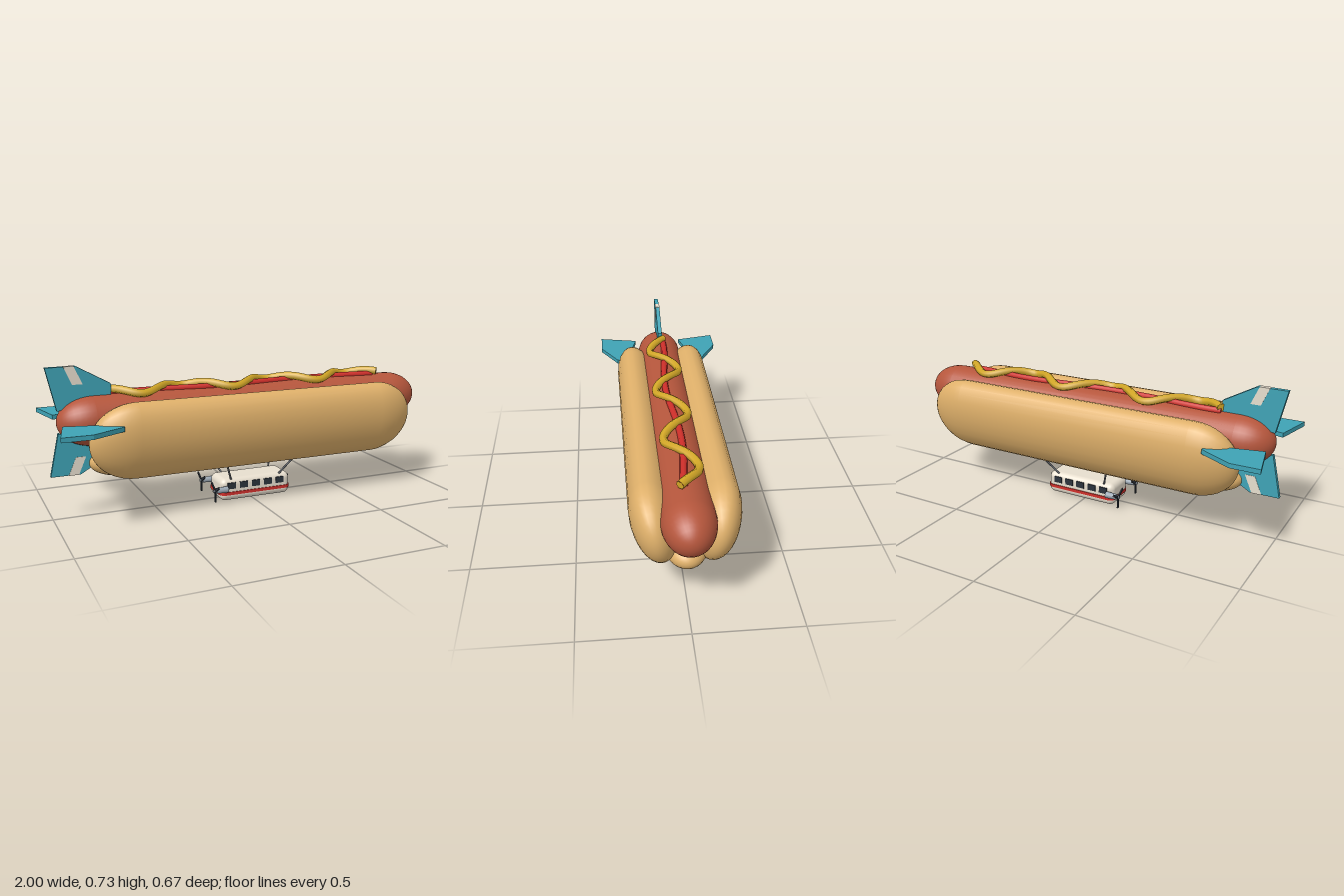
import * as THREE from 'three';
import { RoundedBoxGeometry } from 'three/addons/geometries/RoundedBoxGeometry.js';

const mat = (name, color, side = THREE.FrontSide) => {
  const m = new THREE.MeshStandardMaterial({ color, side });
  m.name = name;
  return m;
};

export function createModel() {
  const root = new THREE.Group();
  root.name = 'sausageAirship';
  const M = {
    bun: mat('bun tan', 0xdfb06a),
    sausage: mat('sausage brown', 0xb5563c),
    mustard: mat('mustard yellow', 0xd6aa28),
    red: mat('red', 0xcf2f2a),
    teal: mat('teal', 0x3fa3b5),
    cream: mat('cream', 0xe8dfcf),
    dark: mat('dark glass', 0x2b323b),
    pod: mat('pale grey', 0x9ba7b3),
    strut: mat('strut grey', 0x6c7178),
  };
  const add = (name, geo, material, x = 0, y = 0, z = 0, parent = root) => {
    const mesh = new THREE.Mesh(geo, material);
    mesh.name = name;
    mesh.position.set(x, y, z);
    parent.add(mesh);
    return mesh;
  };

  // Capsule along x with an elliptical section; shear leans the section sideways
  const capsule = (x0, x1, cap, ry, rz, sides, shear = 0) => {
    const g = new THREE.CapsuleGeometry(cap, x1 - x0 - 2 * cap, 10, sides);
    g.rotateZ(-Math.PI / 2);
    g.scale(1, ry / cap, rz / cap);
    g.applyMatrix4(new THREE.Matrix4().set(1, 0, 0, 0, 0, 1, 0, 0, 0, shear, 1, 0, 0, 0, 0, 1));
    return g.translate((x0 + x1) / 2, 0, 0);
  };

  // Hull: sausage in a split bun
  const CY = 0.465;
  add('sausage', capsule(-0.96, 0.995, 0.17, 0.12, 0.12, 32), M.sausage, 0, CY);
  for (const s of [1, -1]) {
    add(s > 0 ? 'leftBun' : 'rightBun', capsule(-0.84, 0.88, 0.22, 0.19, 0.109, 24, s * 0.158),
      M.bun, 0, 0.38, s * 0.135);
  }
  add('bottomBun', capsule(-0.82, 0.86, 0.15, 0.072, 0.1, 24), M.bun, 0, 0.26);
  add('bunFilling', capsule(-0.8, 0.84, 0.06, 0.04, 0.05, 16), M.cream, 0, 0.358);

  // Sauces squeezed along the top of the sausage
  const sauce = (name, x0, x1, wave, lift, r, sides, material) => {
    const pts = [];
    for (let i = 0; i <= 60; i++) {
      const x = x0 + (x1 - x0) * i / 60, z = wave(x);
      pts.push(new THREE.Vector3(x, CY + Math.sqrt(lift * lift - z * z), z));
    }
    const curve = new THREE.CatmullRomCurve3(pts);
    const g = new THREE.TubeGeometry(curve, 120, r, sides);
    add(name, g, material);
    [0, 1].forEach((t) => {
      const cap = add(name + 'End', new THREE.CircleGeometry(r, sides), material);
      cap.position.copy(curve.getPoint(t));
      const dir = curve.getTangent(t).multiplyScalar(t ? 1 : -1);
      cap.quaternion.setFromUnitVectors(new THREE.Vector3(0, 0, 1), dir);
    });
  };
  sauce('ketchup', -0.7, 0.73, (x) => -0.016 * Math.cos((x + 0.65) * Math.PI * 2), 0.122, 0.017, 8, M.red);
  sauce('mustard', -0.7, 0.75, (x) => -0.069 * Math.cos((x + 0.33) * Math.PI * 2 / 0.465), 0.142, 0.02, 6, M.mustard);

  // Tail fins, with a pale stripe on the upright pair
  const plate = (points, depth) => {
    const shape = new THREE.Shape(points.map((p) => new THREE.Vector2(...p)));
    return new THREE.ExtrudeGeometry(shape, { depth, bevelEnabled: false }).translate(0, 0, -depth / 2);
  };
  const finGeo = plate([[-1, 0.205], [-0.955, 0], [-0.7, 0.06], [-0.7, 0.115], [-0.86, 0.205]], 0.022);
  const stripeGeo = plate([[-0.917, 0.206], [-0.88, 0.12], [-0.832, 0.12], [-0.869, 0.206]], 0.025);
  [['topFin', 0, 0.055], ['leftFin', 1, 0.13], ['bottomFin', 2, 0.05], ['rightFin', 3, 0.13]]
    .forEach(([name, turn, offset]) => {
      const fin = new THREE.Group();
      fin.name = name;
      fin.position.y = CY + 0.002;
      fin.rotation.x = turn * Math.PI / 2;
      root.add(fin);
      add(name + 'Plate', finGeo, M.teal, 0, offset, 0, fin);
      if (turn % 2 === 0) add(name + 'Stripe', stripeGeo, M.cream, 0, offset, 0, fin);
    });

  // Gondola cabin
  const GX = 0.017;
  add('cabin', new RoundedBoxGeometry(0.385, 0.115, 0.166, 5, 0.03), M.cream, GX, 0.0575);
  const band = new THREE.Shape(), bw = 0.196, bd = 0.087, br = 0.033;
  band.absarc(bw - br, bd - br, br, 0, Math.PI / 2);
  band.absarc(br - bw, bd - br, br, Math.PI / 2, Math.PI);
  band.absarc(br - bw, br - bd, br, Math.PI, Math.PI * 1.5);
  band.absarc(bw - br, br - bd, br, Math.PI * 1.5, Math.PI * 2);
  add('cabinBand', new THREE.ExtrudeGeometry(band, { depth: 0.016, bevelEnabled: false, curveSegments: 6 })
    .rotateX(-Math.PI / 2), M.red, GX, 0.032);
  add('frontWindow', new THREE.BoxGeometry(0.008, 0.04, 0.114), M.dark, GX + 0.191, 0.075);
  for (const s of [1, -1]) {
    for (let i = 0; i < 5; i++) {
      add('sideWindow', new THREE.BoxGeometry(0.045, 0.032, 0.008), M.dark, -0.119 + i * 0.067, 0.08, s * 0.082);
    }
  }

  // Struts holding the cabin to the bun
  const strut = (a, b) => {
    const d = b.clone().sub(a);
    const m = add('strut', new THREE.CylinderGeometry(0.005, 0.005, d.length(), 8), M.strut);
    m.position.copy(a).addScaledVector(d, 0.5);
    m.quaternion.setFromUnitVectors(new THREE.Vector3(0, 1, 0), d.normalize());
  };
  for (const s of [1, -1]) {
    for (const [xb, xt] of [[-0.112, -0.16], [0.148, 0.2]]) {
      strut(new THREE.Vector3(xb, 0.1, s * 0.06), new THREE.Vector3(xt, 0.2, s * 0.127));
    }
  }

  // Engine pods with three-bladed propellers
  for (const s of [1, -1]) {
    const engine = new THREE.Group();
    engine.name = s > 0 ? 'leftEngine' : 'rightEngine';
    engine.position.set(0, 0.07, s * 0.1);
    root.add(engine);
    add('pod', new THREE.CylinderGeometry(0.017, 0.014, 0.06, 12).rotateZ(-Math.PI / 2), M.pod, -0.178, 0, 0, engine);
    add('hub', new THREE.CylinderGeometry(0.007, 0.007, 0.02, 8).rotateZ(-Math.PI / 2), M.pod, -0.214, 0, 0, engine);
    for (let i = 0; i < 3; i++) {
      const blade = add('blade', new THREE.BoxGeometry(0.006, 0.058, 0.012).translate(0, -0.029, 0),
        M.dark, -0.215, 0, 0, engine);
      blade.rotation.x = i * Math.PI * 2 / 3;
    }
  }
  return root;
}
